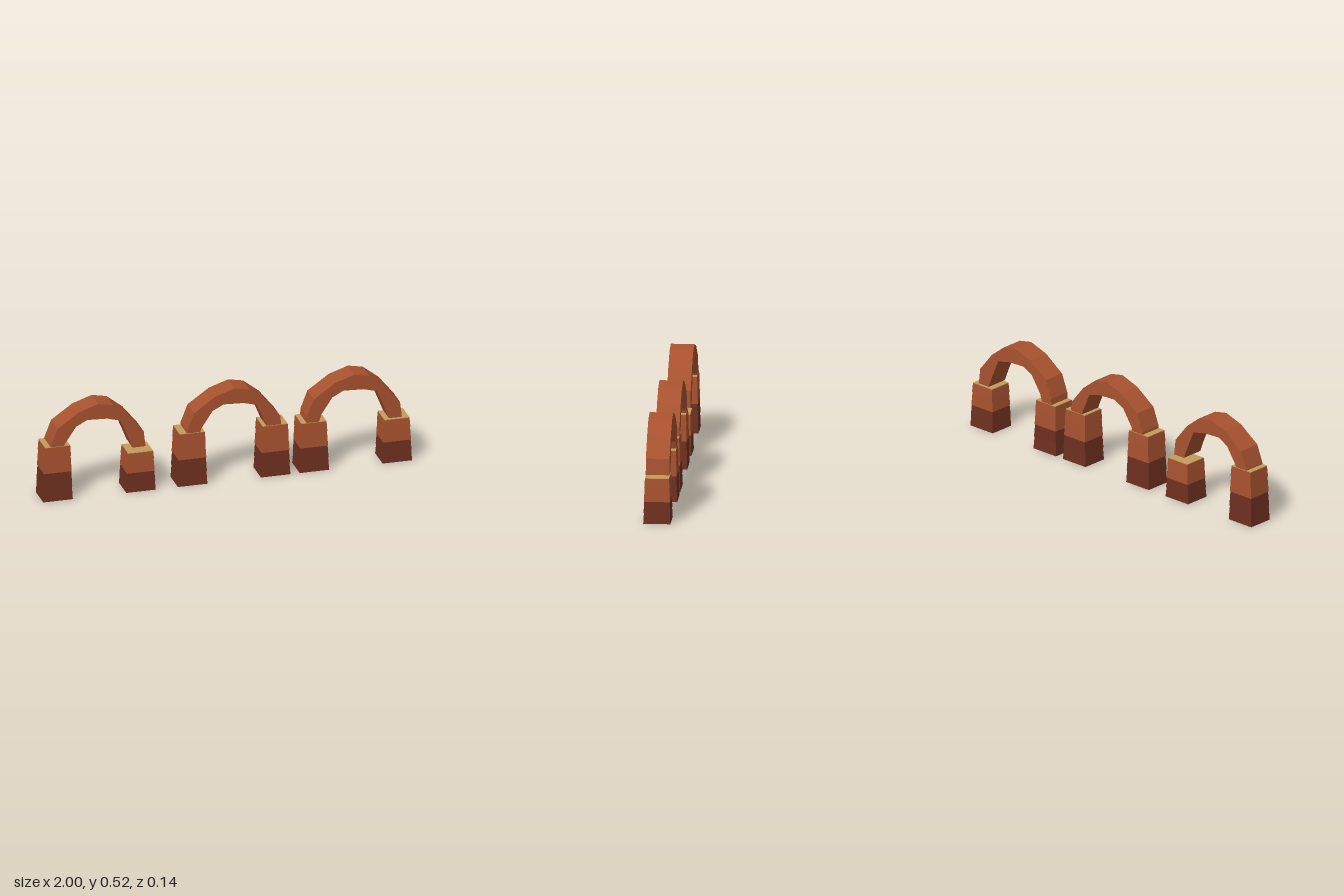
import * as THREE from 'three';

const brick = new THREE.MeshStandardMaterial({ color: 0xa8522f });
brick.name = 'brick';
const darkBrick = new THREE.MeshStandardMaterial({ color: 0x6e3020, side: THREE.DoubleSide });
darkBrick.name = 'darkBrick';
const sandstone = new THREE.MeshStandardMaterial({ color: 0xc49a5c });
sandstone.name = 'sandstone';

// Four-sided block from y0 to y1, tapering from [w, d] bottom to [w, d] top
function block(name, y0, y1, bottom, top, material, open = false) {
  const geo = new THREE.CylinderGeometry(Math.SQRT1_2, Math.SQRT1_2, 1, 4, 1, open)
    .rotateY(Math.PI / 4).toNonIndexed();
  const p = geo.attributes.position;
  for (let i = 0; i < p.count; i++) {
    const up = p.getY(i) > 0;
    const [w, d] = up ? top : bottom;
    p.setXYZ(i, p.getX(i) * w, up ? y1 : y0, p.getZ(i) * d);
  }
  geo.computeVertexNormals();
  const mesh = new THREE.Mesh(geo, material);
  mesh.name = name;
  return mesh;
}

// Tapered pier of four slightly overhanging courses, hollow at the foot
function pier(height, split) {
  const group = new THREE.Group();
  group.name = 'pier';
  const levels = [0, split * 0.48, split, split + (height - split) * 0.6, height];
  const size = (y, grow) => {
    const t = y / height;
    return [0.157 - 0.02 * t + grow, 0.139 - 0.012 * t + grow];
  };
  for (let i = 0; i < 4; i++) {
    const base = i < 2;
    group.add(block(base ? 'baseCourse' : 'upperCourse', levels[i], levels[i + 1],
      size(levels[i], 0.003), size(levels[i + 1], -0.001), base ? darkBrick : brick, base));
  }
  const cap = size(height, -0.002);
  group.add(block('capstone', height, height + 0.003, cap, cap, sandstone));
  return group;
}

// Uneven faceted arch outline: outer edge left to right, then inner edge back
const archOutline = [
  [-0.262, 0.25], [-0.257, 0.31], [-0.22, 0.405], [-0.105, 0.485], [0, 0.52],
  [0.08, 0.504], [0.165, 0.437], [0.247, 0.335], [0.257, 0.25],
  [0.187, 0.25], [0.16, 0.32], [0.12, 0.412], [0.05, 0.431], [-0.06, 0.436],
  [-0.12, 0.405], [-0.18, 0.315], [-0.2, 0.25],
].map(([x, y]) => new THREE.Vector2(x, y));

function arch() {
  const depth = 0.124;
  const geo = new THREE.ExtrudeGeometry(new THREE.Shape(archOutline), { depth, bevelEnabled: false });
  geo.translate(0, 0, -depth / 2);
  const mesh = new THREE.Mesh(geo, brick);
  mesh.name = 'arch';
  return mesh;
}

export function createModel() {
  const model = new THREE.Group();
  model.name = 'brokenArcade';
  // Arch centre, then [x, height, split] for its two piers
  const bays = [
    [-0.7, [-0.92, 0.302, 0.158], [-0.47, 0.217, 0.107]],
    [0.04, [-0.19, 0.292, 0.149], [0.26, 0.283, 0.137]],
    [0.69, [0.47, 0.273, 0.137], [0.92, 0.24, 0.117]],
  ];
  for (const [cx, ...piers] of bays) {
    const bay = new THREE.Group();
    bay.name = 'archBay';
    const span = arch();
    span.position.x = cx;
    bay.add(span);
    for (const [x, height, split] of piers) {
      const p = pier(height, split);
      p.position.x = x;
      bay.add(p);
    }
    model.add(bay);
  }
  return model;
}
